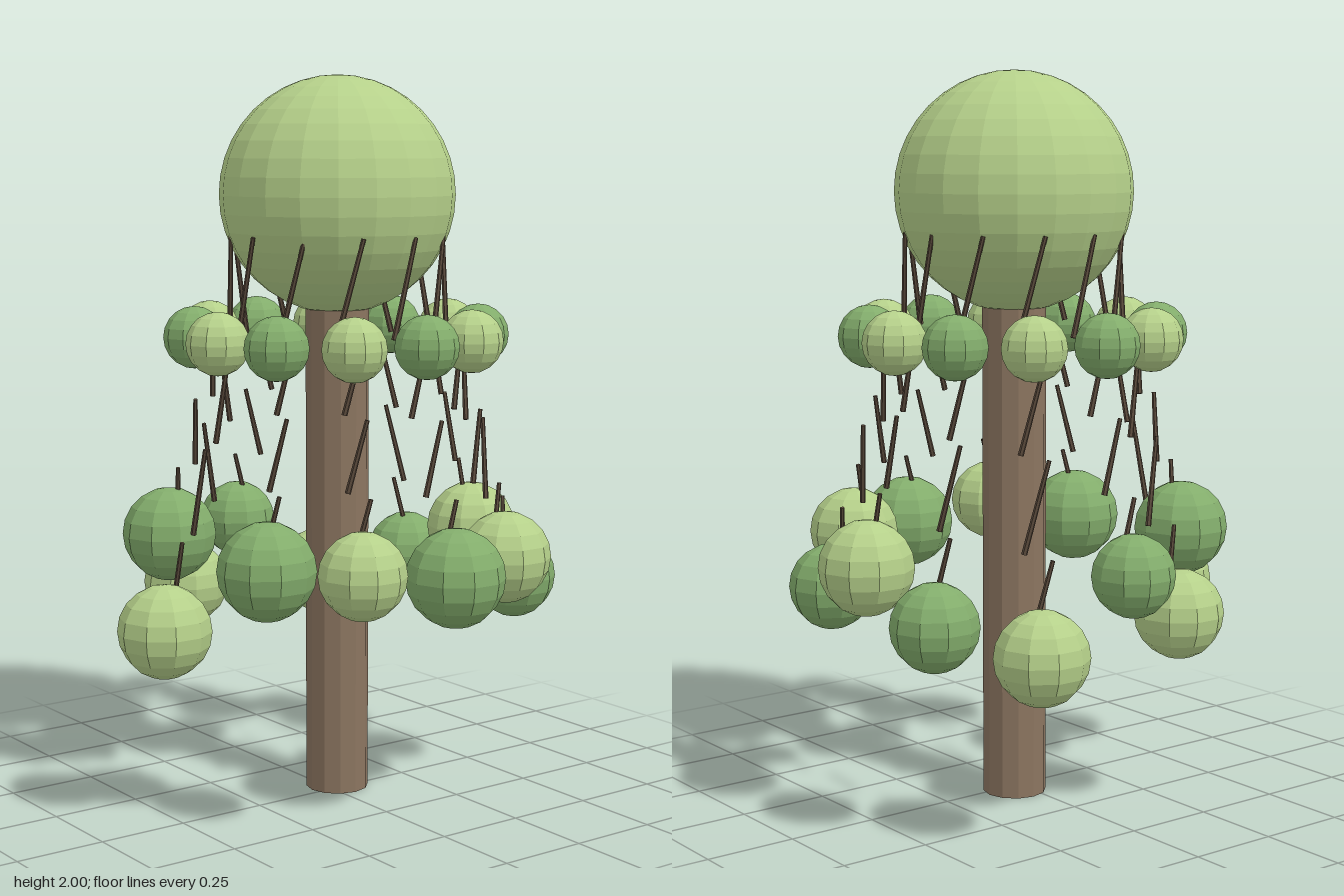
import * as THREE from 'three';

const mat = (color) => new THREE.MeshStandardMaterial({ color, flatShading: true });

export function createModel() {
  const model = new THREE.Group();
  const bark = mat(0x8b7560), twig = mat(0x5a4a3c);
  const light = mat(0xb5d08a), dark = mat(0x83ad6c);

  // everything is arranged around the trunk axis
  const tree = new THREE.Group();
  tree.name = 'tree';
  tree.position.set(0.035, 0, -0.025);
  model.add(tree);

  const add = (name, geometry, material, x, y, z) => {
    const mesh = new THREE.Mesh(geometry, material);
    mesh.name = name;
    mesh.position.set(x, y, z);
    tree.add(mesh);
    return mesh;
  };

  add('trunk', new THREE.CylinderGeometry(0.088, 0.088, 1.45, 12), bark, 0, 0.725, 0);
  add('crown', new THREE.SphereGeometry(0.325, 20, 20), light, 0, 1.675, 0);

  // hanging clusters, every 30 degrees from +x towards the back:
  // [distance from trunk, height, radius]
  const clusters = [
    [0.49, 0.70, 0.128], [0.53, 0.585, 0.117], [0.535, 0.515, 0.125], [0.505, 0.70, 0.11],
    [0.48, 0.55, 0.122], [0.47, 0.74, 0.13], [0.57, 0.53, 0.127], [0.46, 0.71, 0.132],
    [0.575, 0.73, 0.115], [0.52, 0.693, 0.132], [0.497, 0.705, 0.125], [0.505, 0.60, 0.118],
  ];
  const budGeometry = new THREE.SphereGeometry(0.086, 10, 10);
  const startRadius = 0.27, startY = 1.5, pieces = 4;

  clusters.forEach(([reach, height, size], i) => {
    const angle = (i * Math.PI) / 6;
    const c = Math.cos(angle), s = -Math.sin(angle);
    const leaf = i % 2 ? dark : light;
    add('upperBud', budGeometry, leaf, c * 0.395, 1.287, s * 0.395);
    add('hangingCluster', new THREE.SphereGeometry(size, 10, 10), leaf, c * reach, height, s * reach);

    // broken chain of tilted twigs stepping outwards and down
    const step = (startY - height) / pieces;
    for (let k = 0; k < pieces; k++) {
      const t = (k + 0.5) / pieces;
      const r = startRadius + (reach - startRadius) * t;
      const extra = k === 0 ? 0.07 : 0; // the first twig reaches into the crown
      const y = startY - (startY - height) * t + extra / 2;
      const stick = add('twig', new THREE.CylinderGeometry(0.006, 0.008, (step + extra) * 1.02, 6), twig, c * r, y, s * r);
      // lean sideways around the radial direction
      stick.quaternion.setFromAxisAngle(new THREE.Vector3(c, 0, s), -0.26);
    }
  });
  return model;
}
